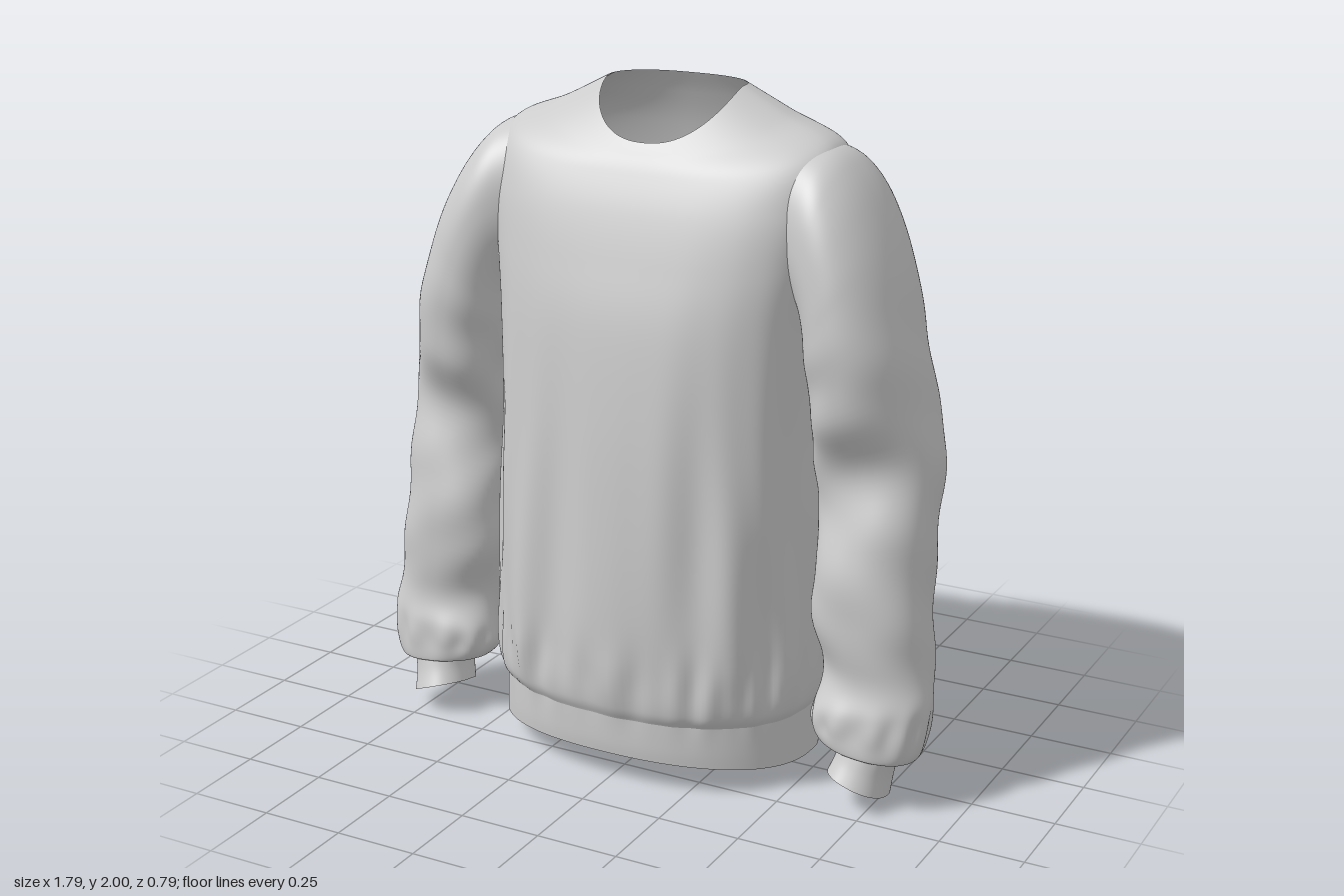
import * as THREE from 'three';

const material = new THREE.MeshStandardMaterial({ color: 0xcccccc, side: THREE.DoubleSide });
const { sin, cos, abs, sign, pow, PI, exp } = Math;
const { smoothstep } = THREE.MathUtils;
const spow = (v, p) => sign(v) * pow(abs(v), p);
const bump = (v, centre, width) => exp(-pow((v - centre) / width, 2));

// Smooth interpolation through a list of rows, t from 0 to 1
function sampleRows(rows, t) {
  const f = t * (rows.length - 1);
  const i = Math.min(Math.floor(f), rows.length - 2);
  const u = f - i;
  const at = (k) => rows[Math.max(0, Math.min(rows.length - 1, k))];
  return rows[i].map((p1, k) => {
    const p0 = at(i - 1)[k], p2 = at(i + 1)[k], p3 = at(i + 2)[k];
    const m1 = (p2 - p0) / 2, m2 = (p3 - p1) / 2, u2 = u * u, u3 = u2 * u;
    return (2 * u3 - 3 * u2 + 1) * p1 + (u3 - 2 * u2 + u) * m1
      + (3 * u2 - 2 * u3) * p2 + (u3 - u2) * m2;
  });
}

// Open tube of rings, bottom to top; side -1 mirrors it across x, faces inside a hole are left out
function loft(name, rows, point, around, up, side = 1, inHole = () => false) {
  const pos = [], index = [];
  for (let j = 0; j <= up; j++) {
    const row = sampleRows(rows, j / up);
    for (let i = 0; i < around; i++) {
      const [x, y, z] = point(row, (i / around) * PI * 2);
      pos.push(x * side, y, z);
    }
  }
  for (let j = 0; j < up; j++) {
    for (let i = 0; i < around; i++) {
      const a = j * around + i, b = j * around + (i + 1) % around;
      const c = a + around, d = b + around;
      if (inHole(pos[3 * a], pos[3 * a + 1], pos[3 * a + 2])) continue;
      if (side > 0) index.push(a, c, b, b, c, d);
      else index.push(a, b, c, b, d, c);
    }
  }
  const g = new THREE.BufferGeometry();
  g.setAttribute('position', new THREE.Float32BufferAttribute(pos, 3));
  g.setIndex(index);
  g.computeVertexNormals();
  const mesh = new THREE.Mesh(g, material);
  mesh.name = name;
  return mesh;
}

// Torso ring: [yFront, ySide, yBack, halfWidth, zFront, zBack, zCentre, frontSquareness, backSquareness]
function torsoPoint([yf, ys, yb, hx, zf, zb, zc, nf, nb], a) {
  const n = sin(a) > 0 ? nf : nb;
  const c = spow(cos(a), 2 / n), s = spow(sin(a), 2 / n);
  const w = pow(abs(sin(a)), 1.3);
  const y = ys + ((sin(a) > 0 ? yf : yb) - ys) * w;
  // long drape folds, and short gathers just above the hem
  const drape = 0.02 * bump(y, 0.6, 0.5) * smoothstep(y, 0.18, 0.4);
  const gather = 0.011 * bump(y, 0.32, 0.1);
  const lean = (y - 0.6) * 0.35 * cos(a);
  const fold = drape * (0.65 * sin(9 * (a + lean) + 0.8) + 0.35 * sin(15 * (a - lean) + 2))
    + gather * (0.6 * sin(21 * a + 1) + 0.4 * sin(34 * a));
  // shallow hollow down the middle of the back
  const hollow = sin(a) < 0 ? 0.06 * bump(c * hx, 0, 0.12) * bump(y, 0.85, 0.7) : 0;
  return [c * (hx + fold * 0.5), y, zc + s * ((s > 0 ? zf - zc : zc - zb) + fold) + hollow];
}

const bodyRows = [
  [0.21, 0.20, 0.19, 0.485, 0.368, -0.355, 0, 2.3, 2.6],
  [0.25, 0.24, 0.23, 0.500, 0.382, -0.370, 0, 2.4, 2.7],
  [0.34, 0.33, 0.32, 0.505, 0.388, -0.372, 0, 2.4, 2.8],
  [0.52, 0.52, 0.52, 0.500, 0.388, -0.378, 0, 2.4, 2.9],
  [0.80, 0.80, 0.80, 0.490, 0.372, -0.385, 0, 2.5, 3.2],
  [1.08, 1.08, 1.08, 0.480, 0.350, -0.388, -0.01, 2.6, 3.5],
  [1.35, 1.35, 1.35, 0.485, 0.315, -0.388, -0.02, 2.8, 3.8],
  [1.53, 1.55, 1.53, 0.505, 0.270, -0.365, -0.03, 3.0, 3.8],
  [1.67, 1.72, 1.69, 0.525, 0.225, -0.328, -0.05, 3.0, 3.4],
  [1.77, 1.855, 1.83, 0.505, 0.180, -0.282, -0.06, 2.7, 2.8],
  [1.82, 1.925, 1.93, 0.350, 0.150, -0.235, -0.07, 2.3, 2.4],
  [1.85, 1.995, 1.995, 0.212, 0.130, -0.195, -0.07, 2.3, 2.3],
];
const hemRows = [
  [0.09, 0.05, 0.00, 0.490, 0.365, -0.250, 0, 2.3, 2.5],
  [0.13, 0.11, 0.09, 0.488, 0.368, -0.315, 0, 2.3, 2.5],
  [0.21, 0.20, 0.19, 0.485, 0.368, -0.355, 0, 2.3, 2.6],
];
// Armhole opening, covered by the sleeve cap
const inArmhole = (x, y, z) =>
  abs(x) > 0.42 && pow((y - 1.63) / 0.19, 2) + pow((z + 0.06) / 0.165, 2) < 1;

// Sleeve ring: [xOuter, yOuter, xInner, yInner, zFront, zBack, frontLift]
function sleevePoint([xo, yo, xi, yi, zf, zb, lift], a) {
  const c = spow(cos(a), 0.9), s = spow(sin(a), 0.9);
  const ym = (yo + yi) / 2, y = ym + c * (yo - yi) / 2;
  // broad slanting creases, mostly on the inner and front side
  const amount = smoothstep(ym, 0.2, 0.35) * (1 - smoothstep(ym, 1.2, 1.5));
  const crease = amount * (0.006 * sin(ym * 15 + 2 * a) * (1 - 0.8 * cos(a))
    + 0.003 * sin(ym * 27 - 3 * a + 1)) + 0.005 * bump(ym, 0.24, 0.05) * sin(11 * a);
  return [
    (xo + xi) / 2 + c * ((xo - xi) / 2 + crease),
    y + lift * sin(a),
    (zf + zb) / 2 + s * ((zf - zb) / 2 + crease),
  ];
}

const sleeveRows = [
  [0.815, 0.185, 0.640, 0.205, 0.195, 0.010, 0],
  [0.850, 0.145, 0.590, 0.170, 0.210, -0.010, 0.01],
  [0.880, 0.185, 0.548, 0.205, 0.212, -0.025, 0.01],
  [0.893, 0.300, 0.540, 0.270, 0.205, -0.045, 0],
  [0.885, 0.400, 0.550, 0.370, 0.175, -0.075, 0],
  [0.862, 0.560, 0.535, 0.530, 0.198, -0.115, 0],
  [0.855, 0.800, 0.510, 0.750, 0.165, -0.160, 0],
  [0.848, 1.020, 0.500, 0.930, 0.125, -0.205, 0],
  [0.803, 1.230, 0.490, 1.090, 0.195, -0.240, 0],
  [0.752, 1.430, 0.485, 1.220, 0.222, -0.265, 0],
  [0.700, 1.590, 0.478, 1.300, 0.215, -0.285, 0],
  [0.640, 1.715, 0.470, 1.350, 0.202, -0.300, 0],
  [0.580, 1.800, 0.460, 1.380, 0.187, -0.302, 0],
  [0.520, 1.848, 0.450, 1.395, 0.170, -0.288, 0],
  [0.435, 1.868, 0.430, 1.410, 0.142, -0.262, 0],
];
const cuffRows = [
  [0.790, 0.035, 0.620, 0.095, 0.240, 0.030, 0.025],
  [0.795, 0.100, 0.635, 0.145, 0.215, 0.015, 0.015],
  [0.815, 0.185, 0.640, 0.205, 0.195, 0.010, 0],
];

export function createModel() {
  const model = new THREE.Group();
  model.name = 'sweatshirt';
  model.add(loft('body', bodyRows, torsoPoint, 192, 110, 1, inArmhole));
  model.add(loft('hemBand', hemRows, torsoPoint, 192, 10));
  for (const [side, label] of [[1, 'left'], [-1, 'right']]) {
    model.add(loft(label + 'Sleeve', sleeveRows, sleevePoint, 96, 112, side));
    model.add(loft(label + 'Cuff', cuffRows, sleevePoint, 96, 10, side));
  }
  return model;
}
